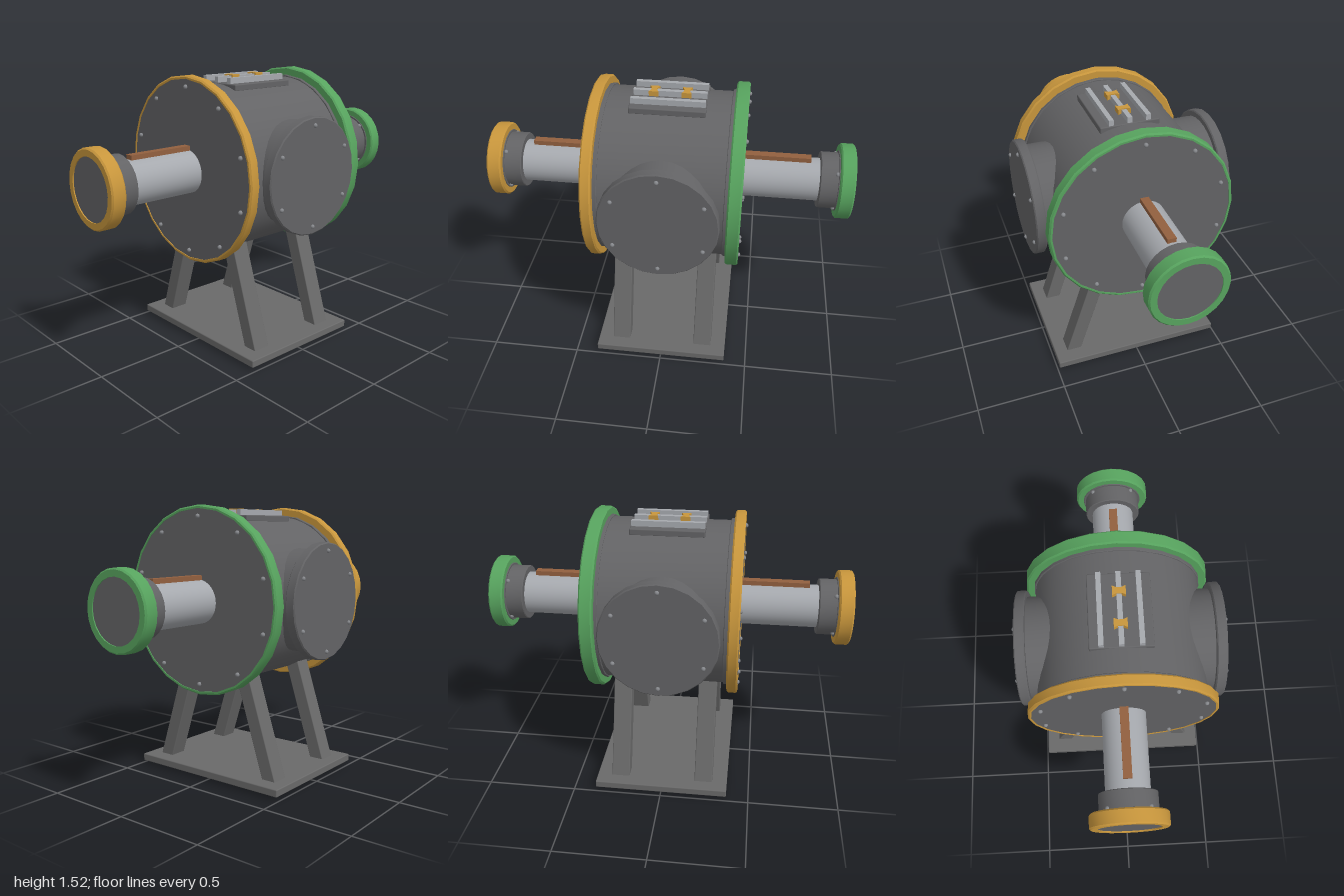
import * as THREE from 'three';
import { toCreasedNormals } from 'three/addons/utils/BufferGeometryUtils.js';
import { RoundedBoxGeometry } from 'three/addons/geometries/RoundedBoxGeometry.js';

const AXIS = 1.02; // height of the chamber axis

const mat = (name, color) => {
  const m = new THREE.MeshStandardMaterial({ color });
  m.name = name;
  return m;
};

export function createModel() {
  const steel = mat('darkSteel', 0x636365);
  const frame = mat('frameSteel', 0x696969);
  const silver = mat('silver', 0xa6a9ae);
  const boltMat = mat('boltSteel', 0x85878b);
  const orange = mat('orange', 0xc8963c);
  const green = mat('green', 0x57a35e);
  const copper = mat('copper', 0x92603f);

  const model = new THREE.Group();
  model.name = 'vacuumChamber';

  const add = (parent, name, geometry, material, x = 0, y = 0, z = 0) => {
    const mesh = new THREE.Mesh(geometry, material);
    mesh.name = name;
    mesh.position.set(x, y, z);
    parent.add(mesh);
    return mesh;
  };

  // Revolved solid along z from [radius, z] points
  const turned = (points, sides = 24) => toCreasedNormals(
    new THREE.LatheGeometry(points.map(([r, z]) => new THREE.Vector2(r, z)), sides).rotateX(Math.PI / 2),
    Math.PI / 7);

  // Solid disc with bevelled edges
  const disc = (r, z0, z1, b = 0.006, sides = 24) => turned(
    [[0, z0], [r - b, z0], [r, z0 + b], [r, z1 - b], [r - b, z1], [0, z1]], sides);

  // Ring with bevelled outer edges
  const ring = (r, inner, z0, z1, b = 0.008) => turned(
    [[inner, z0], [r - b, z0], [r, z0 + b], [r, z1 - b], [r - b, z1], [inner, z1], [inner, z0]]);

  const boltGeo = new THREE.SphereGeometry(0.012, 10, 8);
  const boltCircle = (parent, name, count, radius, z, start = Math.PI / 2) => {
    for (let i = 0; i < count; i++) {
      const a = start + (i / count) * Math.PI * 2;
      add(parent, name, boltGeo, boltMat, Math.cos(a) * radius, Math.sin(a) * radius, z);
    }
  };

  // Main drum
  add(model, 'drum', disc(0.455, -0.335, 0.335, 0.006, 48), steel, 0, AXIS, 0);

  // Front and back: flange, beam pipe, end flange and copper strip
  const endAssembly = (name, color, z0, z1) => {
    const g = new THREE.Group();
    g.name = name;
    g.position.y = AXIS;
    add(g, 'flangeRing', ring(0.51, 0.492, z0, z1), color);
    add(g, 'flangeBack', ring(0.5, 0.3, z0, z0 + 0.012, 0.002), color);
    add(g, 'flangePlate', disc(0.494, z0 + 0.006, z1 - 0.004, 0.002), steel);
    add(g, 'flangeCollar', disc(0.465, 0.325, z0 + 0.008, 0.003), steel);
    boltCircle(g, 'flangeBolt', 10, 0.45, z1);
    add(g, 'beamPipe', disc(0.118, 0.33, 0.83, 0.002, 32), silver);
    add(g, 'pipeCollar', disc(0.155, 0.82, 0.93, 0.004), steel);
    boltCircle(g, 'collarBolt', 4, 0.153, 0.908, Math.PI / 4);
    add(g, 'endRing', ring(0.207, 0.165, 0.92, 1), color);
    add(g, 'endCap', disc(0.167, 0.915, 0.994, 0.002), steel);
    add(g, 'endRingBack', ring(0.2, 0.14, 0.92, 0.93, 0.002), color);
    add(g, 'copperStrip', new THREE.BoxGeometry(0.046, 0.03, 0.42), copper, 0, 0.126, 0.56);
    model.add(g);
    return g;
  };
  endAssembly('frontEnd', orange, 0.347, 0.406);
  endAssembly('backEnd', green, 0.343, 0.415).rotation.y = Math.PI;

  // Side ports
  for (const side of [1, -1]) {
    const port = new THREE.Group();
    port.name = side > 0 ? 'leftPort' : 'rightPort';
    port.position.y = AXIS;
    port.rotation.y = side * Math.PI / 2;
    add(port, 'portNeck', disc(0.28, 0.2, 0.5, 0.002, 32), steel);
    add(port, 'portCover', disc(0.315, 0.49, 0.546), steel);
    boltCircle(port, 'portBolt', 6, 0.27, 0.546);
    model.add(port);
  }

  // Base plate and splayed legs
  add(model, 'basePlate', new RoundedBoxGeometry(0.98, 0.042, 0.75, 2, 0.006), frame, 0, 0.048, 0);
  const lean = 0.312, legLength = 0.74;
  const legGeo = new RoundedBoxGeometry(0.082, legLength, 0.102, 2, 0.005);
  for (const sx of [1, -1]) {
    for (const sz of [1, -1]) {
      const leg = add(model, 'leg', legGeo, frame,
        sx * (0.39 - Math.sin(lean) * legLength / 2), 0.021 + Math.cos(lean) * legLength / 2, sz * 0.24);
      leg.rotation.z = sx * lean;
    }
  }

  // Rail mount on top
  const mount = new THREE.Group();
  mount.name = 'railMount';
  add(mount, 'mountPlate', new RoundedBoxGeometry(0.32, 0.036, 0.4, 2, 0.006), steel, 0, 1.46, 0);
  for (const x of [-0.1, 0, 0.1]) {
    add(mount, 'rail', new THREE.BoxGeometry(0.026, 0.034, 0.39), silver, x, 1.492, 0);
  }
  // Pinched clips gripping the middle rail
  const clipShape = new THREE.Shape([
    [-0.034, -0.026], [-0.012, -0.016], [0.012, -0.016], [0.034, -0.026],
    [0.034, 0.026], [0.012, 0.016], [-0.012, 0.016], [-0.034, 0.026],
  ].map(([x, y]) => new THREE.Vector2(x, y)));
  const clipGeo = new THREE.ExtrudeGeometry(clipShape, { depth: 0.028, bevelEnabled: false }).rotateX(-Math.PI / 2);
  for (const z of [-0.088, 0.084]) add(mount, 'railClip', clipGeo, orange, 0, 1.487, z);
  model.add(mount);

  return model;
}
